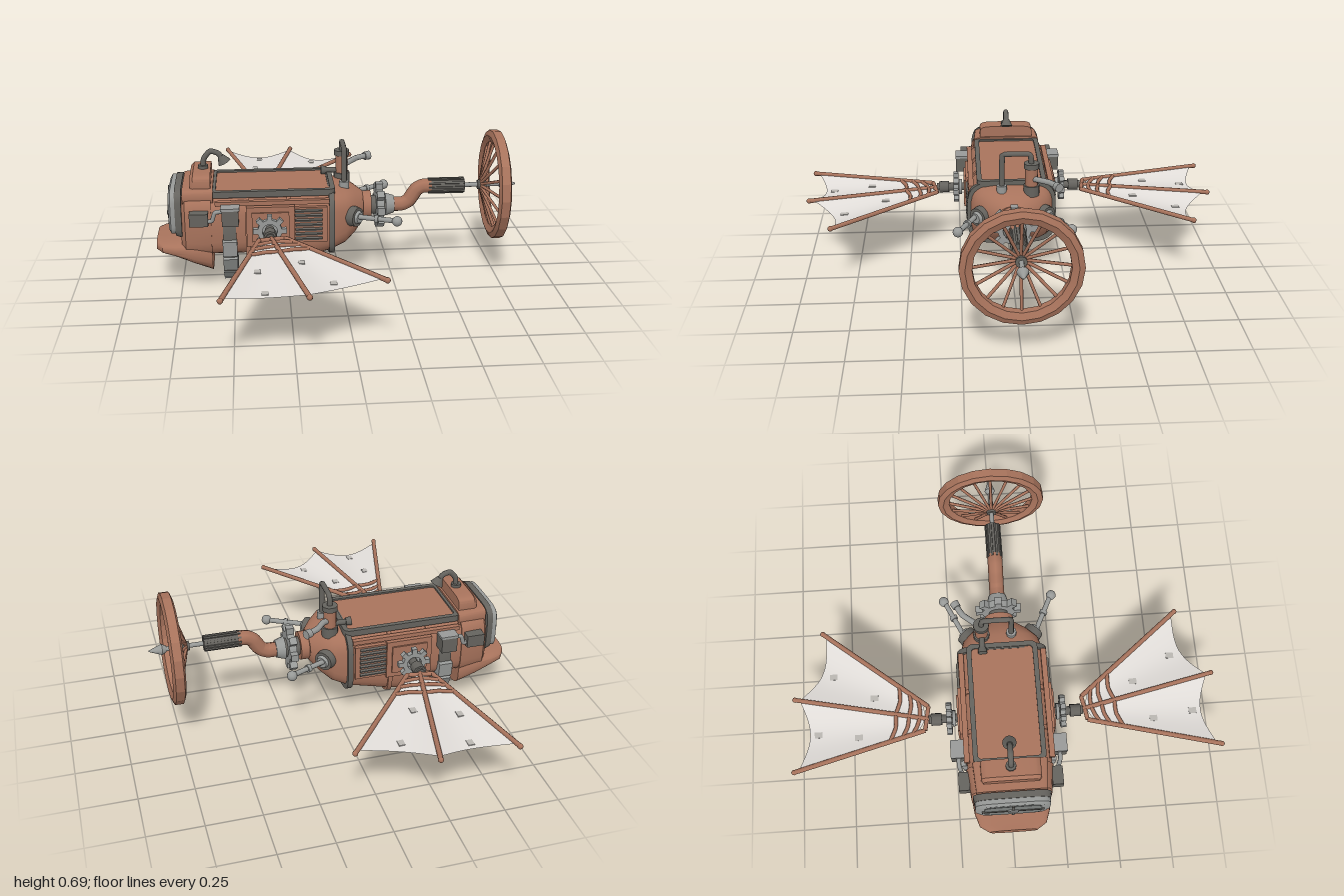
import * as THREE from 'three';
import { toCreasedNormals } from 'three/addons/utils/BufferGeometryUtils.js';

const mat = (name, color, side = THREE.FrontSide) => {
  const m = new THREE.MeshStandardMaterial({ color, side });
  m.name = name;
  return m;
};

export function createModel() {
  const root = new THREE.Group();
  root.name = 'ornithopter';
  const copper = mat('copper', 0xa8735c);
  const iron = mat('dark iron', 0x65635e);
  const steel = mat('steel', 0x989a98);
  const glass = mat('smoked glass', 0x7d817f);
  const cloth = mat('canvas', 0xe2deda, THREE.DoubleSide);
  const patchMat = mat('canvas patch', 0xb9b6b1);
  const V = (x, y, z) => new THREE.Vector3(x, y, z);

  const add = (name, geo, m, x = 0, y = 0, z = 0, parent = root) => {
    const mesh = new THREE.Mesh(geo, m);
    mesh.name = name;
    mesh.position.set(x, y, z);
    parent.add(mesh);
    return mesh;
  };
  const box = (name, m, w, h, d, x, y, z, parent) => add(name, new THREE.BoxGeometry(w, h, d), m, x, y, z, parent);
  const rod = (name, m, a, b, r1, r2 = r1, seg = 10) => {
    const dir = b.clone().sub(a), mid = a.clone().add(b).multiplyScalar(0.5);
    const mesh = add(name, new THREE.CylinderGeometry(r2, r1, dir.length(), seg), m, mid.x, mid.y, mid.z);
    mesh.quaternion.setFromUnitVectors(V(0, 1, 0), dir.normalize());
    return mesh;
  };
  const tube = (name, m, pts, r, seg = 24) =>
    add(name, new THREE.TubeGeometry(new THREE.CatmullRomCurve3(pts, false, 'catmullrom', 0.3), seg, r, 8), m);

  // Skin over squared-off oval sections along x: [x, top, bottom, half width, squareness]
  const loft = (name, m, sections, n = 32) => {
    const pos = [], idx = [], pw = (v, e) => Math.sign(v) * Math.abs(v) ** (2 / e);
    for (const [x, top, bot, hw, e = 4] of sections)
      for (let j = 0; j < n; j++) {
        const t = (j / n) * Math.PI * 2;
        pos.push(x, (top + bot) / 2 + ((top - bot) / 2) * pw(Math.sin(t), e), hw * pw(Math.cos(t), e));
      }
    const last = sections.length - 1, c = pos.length / 3;
    for (const [x, top, bot] of [sections[0], sections[last]]) pos.push(x, (top + bot) / 2, 0);
    for (let j = 0; j < n; j++) {
      const k = (j + 1) % n;
      for (let i = 0; i < last; i++) {
        const a = i * n + j, b = i * n + k;
        idx.push(a, a + n, b + n, a, b + n, b);
      }
      idx.push(c, j, k, c + 1, last * n + k, last * n + j);
    }
    const g = new THREE.BufferGeometry();
    g.setAttribute('position', new THREE.Float32BufferAttribute(pos, 3));
    g.setIndex(idx);
    return add(name, toCreasedNormals(g, 0.6), m);
  };

  // Toothed ring facing +z, centred on its thickness
  const gear = (r, tip, hole, teeth, depth) => {
    const s = new THREE.Shape(), step = (Math.PI * 2) / teeth;
    for (let i = 0; i < teeth; i++)
      [[-0.5, r], [-0.26, r], [-0.2, tip], [0.2, tip], [0.26, r]].forEach(([f, q], k) => {
        const a = (i + f) * step;
        s[i + k ? 'lineTo' : 'moveTo'](Math.cos(a) * q, Math.sin(a) * q);
      });
    s.holes.push(new THREE.Path().absarc(0, 0, hole, 0, Math.PI * 2, true));
    return new THREE.ExtrudeGeometry(s, { depth, bevelEnabled: false, curveSegments: 10 }).translate(0, 0, -depth / 2);
  };

  // Hull
  loft('head', copper, [[-0.74, 0.46, 0.18, 0.16], [-0.72, 0.48, 0.16, 0.185], [-0.6, 0.48, 0.16, 0.2]]);
  loft('midHull', copper, [[-0.6, 0.47, 0.17, 0.195], [-0.44, 0.47, 0.17, 0.195]]);
  loft('belly', copper, [[-0.44, 0.47, 0.08, 0.195], [-0.25, 0.47, 0.12, 0.2], [-0.05, 0.47, 0.175, 0.2]]);
  loft('noseDome', copper, [[-0.05, 0.47, 0.175, 0.2], [0.02, 0.465, 0.2, 0.18, 3.4], [0.07, 0.445, 0.235, 0.135, 2.6], [0.11, 0.42, 0.28, 0.08, 2]]);
  loft('chin', copper, [[-0.86, 0.24, 0.185, 0.11, 3], [-0.83, 0.24, 0.18, 0.155, 3], [-0.77, 0.245, 0.165, 0.175, 3], [-0.69, 0.26, 0.125, 0.185, 3], [-0.6, 0.27, 0.085, 0.185, 3]]);
  loft('hullBand', iron, [[-0.06, 0.485, 0.16, 0.213], [-0.035, 0.485, 0.16, 0.213]]);
  loft('bellyRib', copper, [[-0.255, 0.475, 0.108, 0.208], [-0.235, 0.475, 0.112, 0.208]]);
  loft('bellyRim', copper, [[-0.445, 0.475, 0.072, 0.206], [-0.425, 0.475, 0.075, 0.206]]);

  // Head cap, with vent pipe
  loft('headCap', copper, [[-0.695, 0.54, 0.44, 0.125, 6], [-0.68, 0.555, 0.44, 0.135, 6], [-0.6, 0.555, 0.44, 0.135, 6]]);
  loft('headCapStep', copper, [[-0.73, 0.5, 0.42, 0.16, 6], [-0.59, 0.5, 0.42, 0.17, 6]]);
  tube('ventPipe', iron, [V(-0.635, 0.55, 0), V(-0.63, 0.6, 0), V(-0.6, 0.635, 0), V(-0.565, 0.625, 0), V(-0.545, 0.6, 0)], 0.013);
  rod('ventBell', iron, V(-0.552, 0.612, 0), V(-0.535, 0.58, 0), 0.014, 0.032, 12);
  rod('ventCollar', iron, V(-0.635, 0.55, 0), V(-0.635, 0.57, 0), 0.024);

  // Rear window
  loft('windowFrame', steel, [[-0.795, 0.48, 0.29, 0.15, 5], [-0.785, 0.495, 0.275, 0.17, 5], [-0.765, 0.495, 0.275, 0.17, 5]]);
  loft('windowSeat', iron, [[-0.765, 0.5, 0.265, 0.172, 5], [-0.735, 0.5, 0.255, 0.178, 5]]);
  loft('windowGlass', glass, [[-0.798, 0.465, 0.305, 0.13, 5], [-0.794, 0.465, 0.305, 0.13, 5]]);
  box('windowBarUpright', iron, 0.01, 0.175, 0.012, -0.797, 0.385, 0);
  box('windowBarLevel', iron, 0.01, 0.012, 0.28, -0.797, 0.385, 0);
  add('windowHub', new THREE.CylinderGeometry(0.025, 0.025, 0.012, 12), steel, -0.799, 0.385, 0).rotation.z = Math.PI / 2;

  // Top lid with rounded frame
  const rounded = (P, w, h, r) => new P()
    .absarc(w - r, h - r, r, 0, Math.PI / 2).absarc(r - w, h - r, r, Math.PI / 2, Math.PI)
    .absarc(r - w, r - h, r, Math.PI, Math.PI * 1.5).absarc(w - r, r - h, r, Math.PI * 1.5, Math.PI * 2);
  const frame = rounded(THREE.Shape, 0.285, 0.165, 0.03);
  frame.holes.push(rounded(THREE.Path, 0.262, 0.142, 0.015));
  const lidFrame = new THREE.ExtrudeGeometry(frame, { depth: 0.03, bevelEnabled: false, curveSegments: 4 }).rotateX(-Math.PI / 2);
  add('lidFrame', lidFrame, iron, -0.315, 0.46, 0);
  box('lid', copper, 0.54, 0.03, 0.3, -0.315, 0.467, 0);

  // Toothed track wrapping the underside
  loft('trackBand', iron, [[-0.548, 0.46, 0.035, 0.203, 2.7], [-0.488, 0.46, 0.035, 0.203, 2.7]]);
  for (let i = 0; i < 9; i++) {
    const a = Math.PI * (1 + (i + 0.35) / 8.7);
    const t = box('trackTooth', steel, 0.066, 0.05, 0.075, -0.518, 0.26 + 0.225 * Math.sin(a), 0.195 * Math.cos(a));
    t.rotation.x = Math.PI / 2 - a;
  }

  // Stack, loop pipe and side exhaust
  rod('stack', copper, V(0.02, 0.44, -0.09), V(0.02, 0.585, -0.09), 0.03, 0.03, 14);
  rod('stackCap', iron, V(0.02, 0.575, -0.09), V(0.02, 0.6, -0.09), 0.036, 0.036, 14);
  rod('stackBase', iron, V(0.02, 0.44, -0.09), V(0.02, 0.49, -0.09), 0.038, 0.038, 14);
  tube('loopPipe', iron, [V(0.02, 0.59, -0.09), V(0.02, 0.635, -0.085), V(0.02, 0.645, -0.07), V(0.02, 0.645, 0.03), V(0.02, 0.635, 0.047), V(0.02, 0.46, 0.05)], 0.013, 40);
  rod('loopCollar', steel, V(0.02, 0.45, 0.05), V(0.02, 0.49, 0.05), 0.024);
  rod('shortPipe', iron, V(0.02, 0.5, -0.09), V(-0.06, 0.5, -0.09), 0.013);
  rod('shortPipeEnd', iron, V(-0.055, 0.5, -0.09), V(-0.08, 0.5, -0.09), 0.018, 0.022);
  tube('exhaust', steel, [V(0.02, 0.52, -0.09), V(0.06, 0.53, -0.12), V(0.1, 0.532, -0.17), V(0.15, 0.532, -0.2)], 0.014);
  rod('exhaustEnd', steel, V(0.14, 0.532, -0.195), V(0.165, 0.532, -0.208), 0.02, 0.022);

  // Neck, front gear and crank pipe
  rod('neck', copper, V(0.09, 0.35, 0), V(0.15, 0.35, 0), 0.068, 0.068, 20);
  add('neckGear', gear(0.078, 0.11, 0.03, 8, 0.035), steel, 0.192, 0.35, 0).rotation.y = Math.PI / 2;
  rod('neckShaft', iron, V(0.14, 0.35, 0), V(0.24, 0.35, 0), 0.045, 0.045, 16);
  rod('neckCollar', steel, V(0.22, 0.35, 0), V(0.262, 0.35, 0), 0.055, 0.042, 14);
  tube('crankPipe', copper, [V(0.24, 0.35, 0), V(0.3, 0.35, 0), V(0.335, 0.368, 0), V(0.37, 0.42, 0), V(0.4, 0.437, 0), V(0.44, 0.437, 0)], 0.036, 32);

  // Ribbed shaft housing
  rod('shaftHousing', iron, V(0.42, 0.437, 0), V(0.6, 0.437, 0), 0.033, 0.033, 16);
  for (let i = 0; i < 10; i++) {
    const a = (i / 10) * Math.PI * 2;
    box('housingRib', iron, 0.172, 0.009, 0.009, 0.512, 0.437 + 0.034 * Math.sin(a), 0.034 * Math.cos(a)).rotation.x = -a;
  }
  rod('propShaft', steel, V(0.6, 0.437, 0), V(0.79, 0.437, 0), 0.011);

  // Spoked wheel
  const rim = [[0.205, -0.018], [0.235, -0.03], [0.26, -0.02], [0.26, 0.02], [0.235, 0.03], [0.205, 0.018], [0.205, -0.018]];
  const rimGeo = new THREE.LatheGeometry(rim.map(([r, y]) => new THREE.Vector2(r, y)), 20);
  add('wheelRim', toCreasedNormals(rimGeo, 0.2), copper, 0.748, 0.437, 0).rotation.z = -Math.PI / 2;
  for (let i = 0; i < 16; i++) {
    const a = (i / 16) * Math.PI * 2, s = Math.sin(a), c = Math.cos(a);
    rod('wheelSpoke', copper, V(0.68, 0.437 + 0.015 * s, 0.015 * c), V(0.74, 0.437 + 0.215 * s, 0.215 * c), 0.0075, 0.0075, 6);
  }
  rod('wheelHub', iron, V(0.665, 0.437, 0), V(0.705, 0.437, 0), 0.022, 0.026, 12);
  rod('spikeBase', steel, V(0.77, 0.437, 0), V(0.79, 0.437, 0), 0.014, 0.026, 12);
  rod('spike', steel, V(0.79, 0.437, 0), V(0.85, 0.437, 0), 0.026, 0.003, 12);

  for (const s of [1, -1]) {
    // Side panel with louvred vent
    box('gearPanel', copper, 0.22, 0.19, 0.03, -0.33, 0.335, s * 0.203);
    box('gearPanelInset', copper, 0.17, 0.14, 0.03, -0.33, 0.335, s * 0.211);
    box('ventBack', copper, 0.17, 0.17, 0.02, -0.155, 0.335, s * 0.198);
    for (let i = 0; i < 7; i++) box('ventSlat', iron, 0.125, 0.011, 0.014, -0.155, 0.27 + i * 0.0225, s * 0.209).rotation.x = s * 0.5;
    box('sideRail', copper, 0.52, 0.02, 0.025, -0.32, 0.445, s * 0.193);

    // Side machinery
    box('rearBox', iron, 0.085, 0.06, 0.05, -0.655, 0.38, s * 0.212);
    box('pumpBox', iron, 0.075, 0.085, 0.07, -0.512, 0.4, s * 0.228);
    box('pumpLid', steel, 0.085, 0.012, 0.074, -0.512, 0.437, s * 0.228);
    tube('pumpHose', steel, [V(-0.62, 0.37, s * 0.215), V(-0.595, 0.375, s * 0.225), V(-0.58, 0.415, s * 0.23), V(-0.54, 0.42, s * 0.23)], 0.01);

    // Nose port with outrigger pole
    rod('nosePort', iron, V(0.03, 0.35, s * 0.13), V(0.075, 0.35, s * 0.168), 0.05, 0.045, 16);
    rod('nosePortCap', steel, V(0.07, 0.35, s * 0.163), V(0.085, 0.35, s * 0.177), 0.035, 0.025, 16);
    rod('pole', steel, V(0.05, 0.355, s * 0.165), V(0.24, 0.36, s * 0.255), 0.012);
    rod('poleCollar', steel, V(0.15, 0.357, s * 0.212), V(0.165, 0.357, s * 0.219), 0.019);
    add('poleKnob', new THREE.SphereGeometry(0.024, 12, 8), steel, 0.245, 0.36, s * 0.26);

    // Wing drive
    add('wingGear', gear(0.055, 0.077, 0.034, 8, 0.025), steel, -0.335, 0.335, s * 0.265);
    rod('wingAxle', iron, V(-0.335, 0.335, s * 0.2), V(-0.335, 0.335, s * 0.36), 0.02);
    rod('wingCollar', steel, V(-0.335, 0.335, s * 0.235), V(-0.335, 0.335, s * 0.25), 0.038, 0.038, 14);
    rod('wingHub', iron, V(-0.335, 0.335, s * 0.3), V(-0.335, 0.335, s * 0.35), 0.03, 0.03, 8);

    // Wing spars
    const spars = [[-0.385, 0.38, -0.543, 0.99], [-0.335, 0.34, -0.195, 0.985], [-0.27, 0.36, 0.127, 0.85]]
      .map(([x0, z0, x1, z1]) => [V(x0, 0.335, s * z0), V(x1, 0.335, s * z1)]);
    for (const [a, b] of spars) {
      rod('wingSpar', copper, a, b, 0.011, 0.011, 8);
      add('sparTip', new THREE.SphereGeometry(0.013, 8, 6), copper, b.x, b.y, b.z);
    }
    rod('sparRoot', copper, spars[0][0], spars[2][0], 0.01);

    // Drooping canvas between spars, with scalloped edge
    for (let k = 0; k < 2; k++) {
      const [p, q] = [spars[k], spars[k + 1]];
      const at = (u, v) => {
        const bow = Math.sin(Math.PI * u), w = v * (0.965 - 0.075 * bow);
        const out = p[0].clone().lerp(p[1], w).lerp(q[0].clone().lerp(q[1], w), u);
        out.y -= 0.028 * bow * v;
        return out;
      };
      const g = new THREE.PlaneGeometry(1, 1, 12, 10), pos = g.attributes.position;
      for (let i = 0; i < pos.count; i++) {
        const o = at(pos.getX(i) + 0.5, 0.06 + 0.94 * (pos.getY(i) + 0.5));
        pos.setXYZ(i, o.x, o.y, o.z);
      }
      g.computeVertexNormals();
      add('wingCanvas', g, cloth);
      for (const v of [0.1, 0.18, 0.28])
        tube('wingBatten', copper, [0, 0.5, 1].map((u) => at(u, v).setY(0.335)), 0.009, 8);
      for (const [u, v] of k ? [[0.35, 0.5], [0.5, 0.9]] : [[0.35, 0.58], [0.5, 0.93]]) {
        const o = at(u, v);
        box('canvasPatch', patchMat, 0.028, 0.006, 0.036, o.x, o.y, o.z);
      }
    }
  }
  return root;
}
